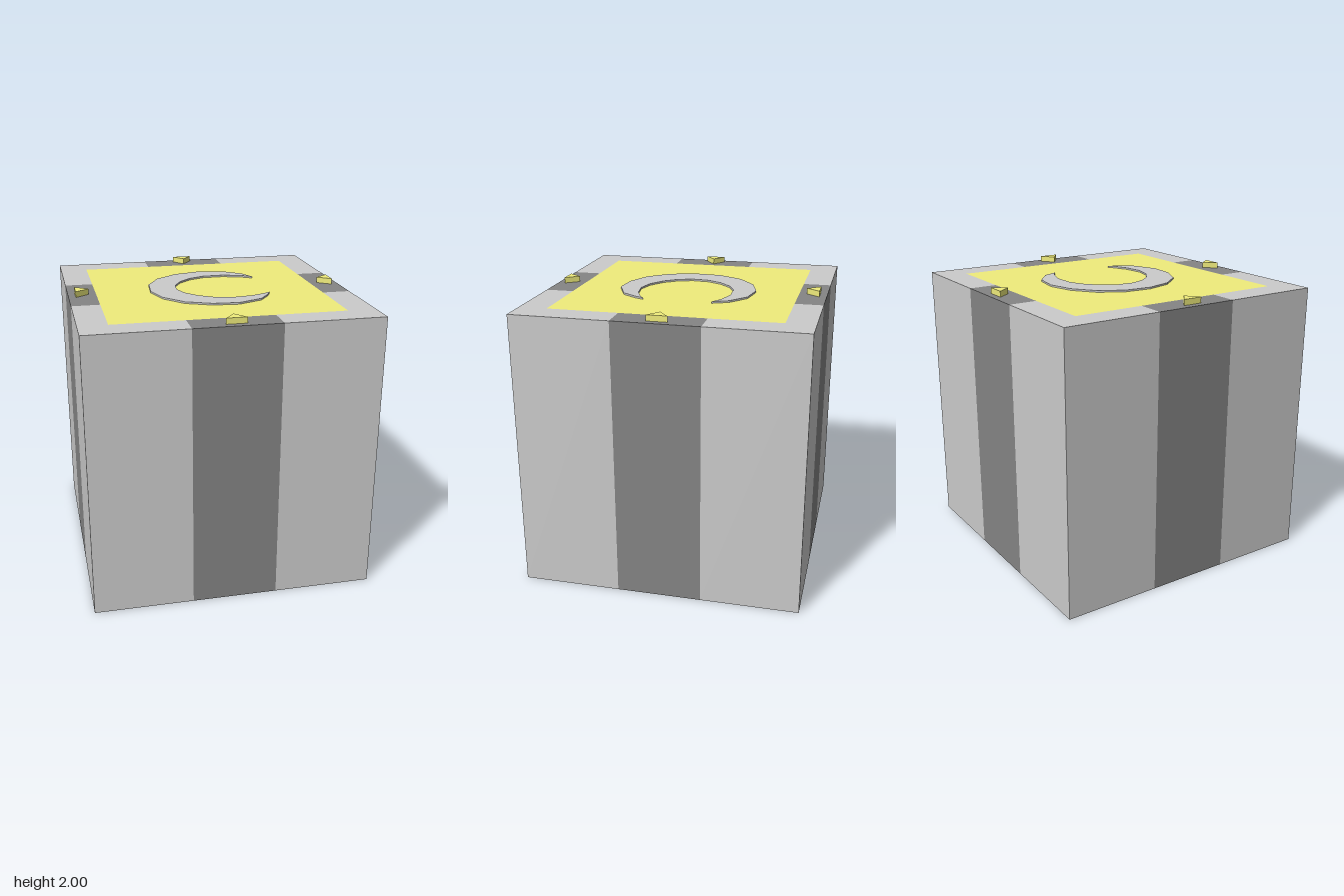
import * as THREE from 'three';
import { mergeGeometries } from 'three/addons/utils/BufferGeometryUtils.js';

const H = 0.98, B = 0.295, P = 0.785, TOP = 1.96; // half width, half band, half panel, body height

const grey = new THREE.MeshStandardMaterial({ color: 0xcccccc });
const dark = new THREE.MeshStandardMaterial({ color: 0x858585 });
const yellow = new THREE.MeshStandardMaterial({ color: 0xf0ed7c });

const toShape = (pts) => new THREE.Shape(pts.map(([x, z]) => new THREE.Vector2(x, -z)));

// Flat patches on the outer surface, outlines given as [x, z] or [x, y]
const topPatch = (pts) => new THREE.ShapeGeometry(toShape(pts)).rotateX(-Math.PI / 2).translate(0, TOP, 0);
const bottomPatch = (pts) => new THREE.ShapeGeometry(toShape(pts)).rotateX(Math.PI / 2);
const sidePatch = (x0, x1) => new THREE.PlaneGeometry(x1 - x0, TOP).translate((x0 + x1) / 2, TOP / 2, H);
const rect = (x0, z0, x1, z1) => [[x0, z0], [x1, z0], [x1, z1], [x0, z1]];

// Raised slab standing on the top face
const slab = (pts, height) =>
  new THREE.ExtrudeGeometry(toShape(pts), { depth: height, bevelEnabled: false })
    .rotateX(-Math.PI / 2).translate(0, TOP, 0);

// Repeats a list of geometries on all four sides and merges them
function aroundFour(geometries) {
  const all = [];
  for (let i = 0; i < 4; i++)
    for (const g of geometries) all.push(g.clone().rotateY(i * Math.PI / 2));
  return mergeGeometries(all);
}

export function createModel() {
  const model = new THREE.Group();
  const add = (name, geometry, material) => {
    const mesh = new THREE.Mesh(geometry, material);
    mesh.name = name;
    model.add(mesh);
    return mesh;
  };

  // Light corners of the cube: side strips, top L-shapes, bottom squares
  add('bodyCorners', aroundFour([
    sidePatch(-H, -B),
    sidePatch(B, H),
    topPatch([[B, P], [P, P], [P, B], [H, B], [H, H], [B, H]]),
    bottomPatch(rect(B, B, H, H)),
  ]), grey);

  // Dark bands running up the sides and crossing underneath
  add('bands', aroundFour([
    sidePatch(-B, B),
    topPatch(rect(-B, P, B, H)),
    bottomPatch(rect(-B, B, B, H)),
  ]), dark);
  add('bandCrossing', bottomPatch(rect(-B, -B, B, B)), dark);

  // Flush square panel on top
  add('topPanel', topPatch(rect(-P, -P, P, P)), yellow);

  // Low faceted crescent: outer curve, then inner curve back
  add('crescent', slab([
    [0.41, -0.24], [0.36, -0.35], [0.23, -0.455], [0.04, -0.485], [-0.145, -0.435],
    [-0.3, -0.315], [-0.39, -0.145], [-0.405, 0.05], [-0.35, 0.235], [-0.225, 0.385],
    [-0.05, 0.465], [0.13, 0.48], [0.305, 0.405], [0.38, 0.3], [0.41, 0.235],
    [0.37, 0.265], [0.265, 0.31], [0.125, 0.33], [0, 0.3], [-0.105, 0.23],
    [-0.18, 0.135], [-0.215, 0.03], [-0.205, -0.085], [-0.15, -0.19], [-0.06, -0.275],
    [0.05, -0.325], [0.2, -0.33], [0.33, -0.29],
  ], 0.012), grey);

  // Four small triangular markers pointing to the centre
  const marker = slab([[-0.07, 0.93], [0.07, 0.93], [0, 0.837]], 0.04);
  ['front', 'left', 'back', 'right'].forEach((side, i) => {
    add(side + 'Marker', marker, yellow).rotation.y = i * Math.PI / 2;
  });

  return model;
}
